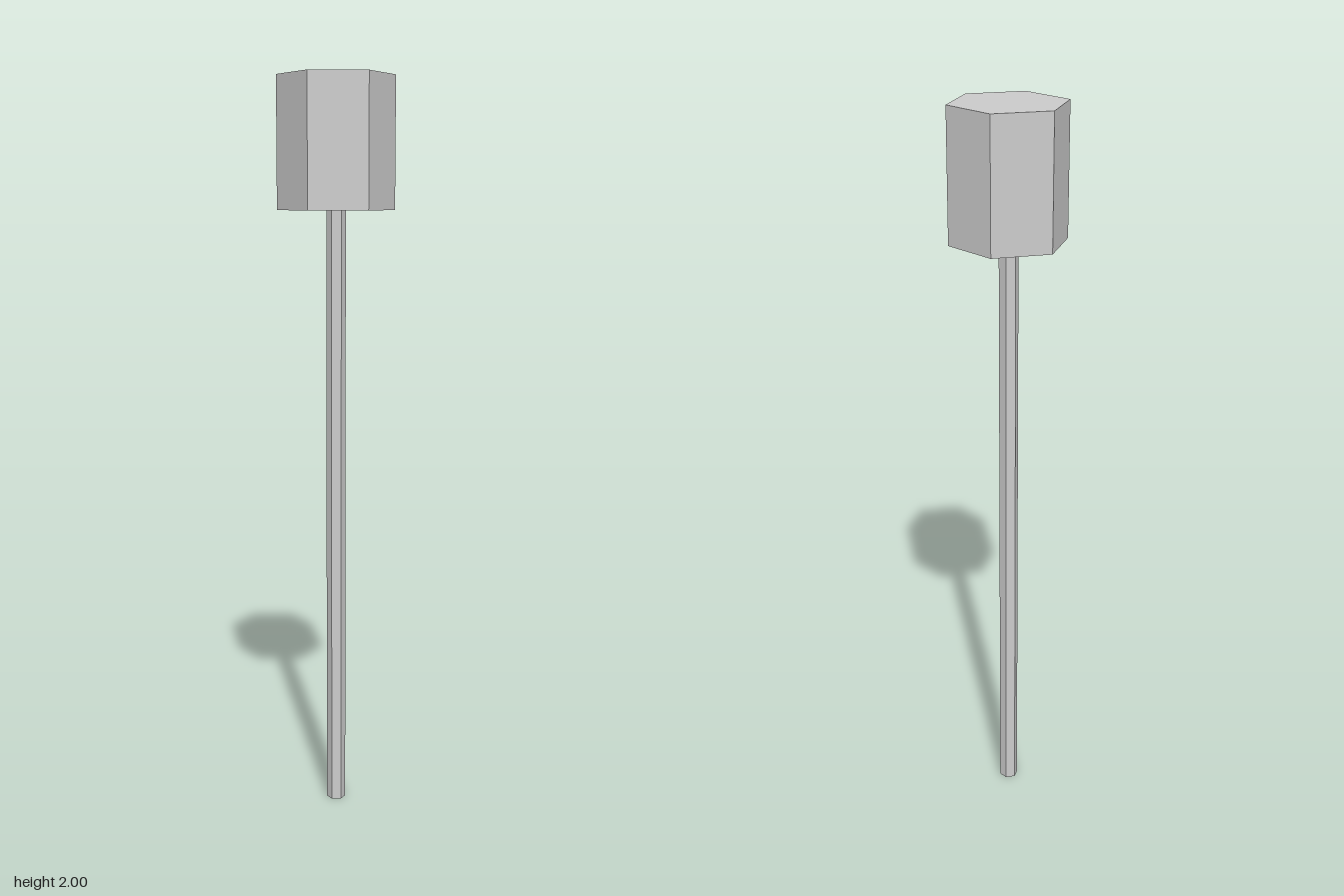
import * as THREE from 'three';

const material = new THREE.MeshStandardMaterial({ color: 0xcccccc, flatShading: true });

// Upright hexagonal prism with a corner facing the front
function hexPrism(name, radius, bottom, top) {
  const mesh = new THREE.Mesh(new THREE.CylinderGeometry(radius, radius, top - bottom, 6), material);
  mesh.name = name;
  mesh.position.y = (bottom + top) / 2;
  return mesh;
}

export function createModel() {
  const model = new THREE.Group();
  model.name = 'mallet';
  // Thin handle, and the block on top of it
  model.add(hexPrism('handle', 0.026, 0, 1.65));
  model.add(hexPrism('head', 0.157, 1.65, 2));
  return model;
}
